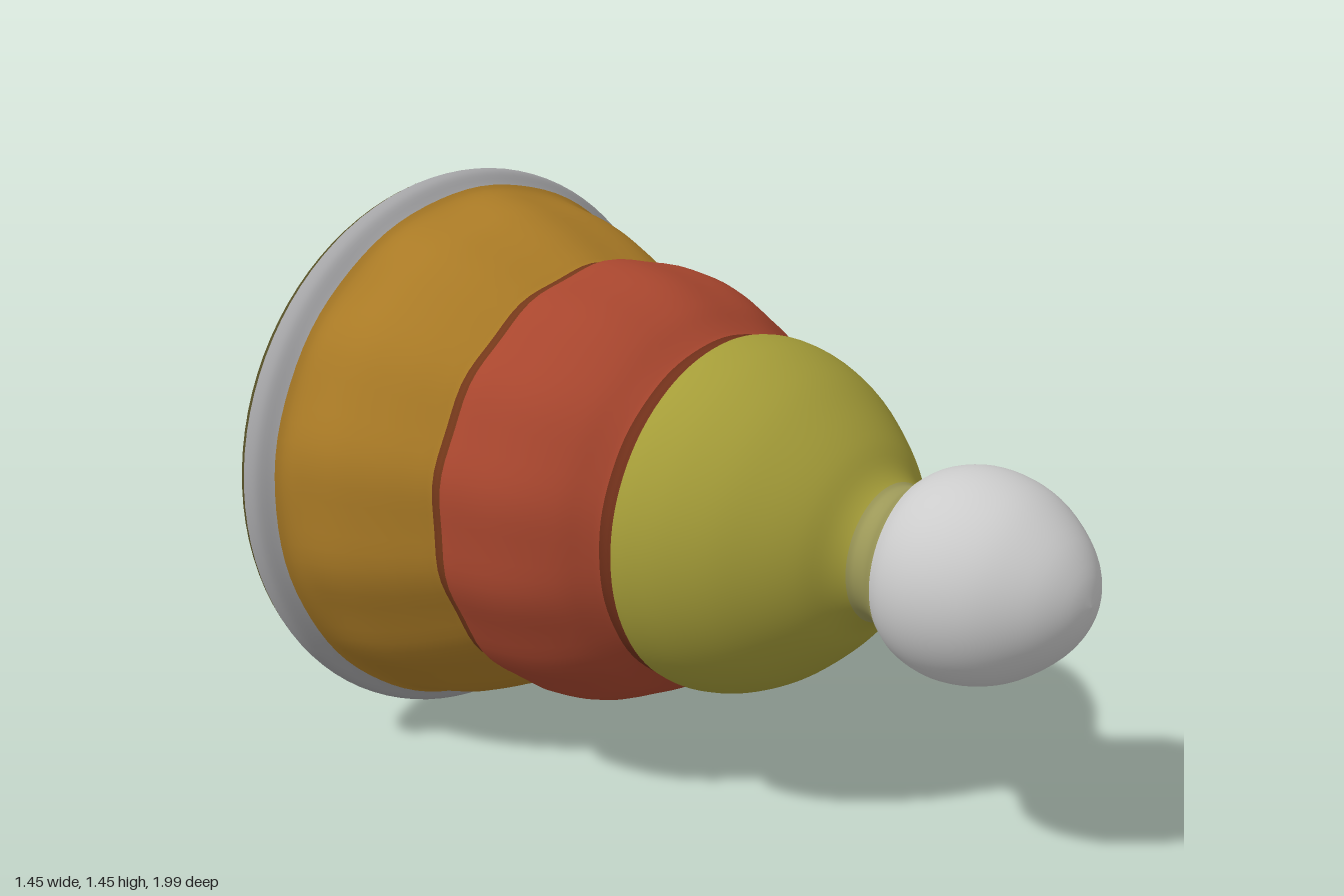
import * as THREE from 'three';

const SIDES = 96;

// Profile sections from the front tip to the back centre: [z, radius].
// Each section runs on to the first point of the next.
const SECTIONS = [
  { name: 'frontBall', color: 0xc0c0c2, pts: [[1, 0], [0.985, 0.065], [0.94, 0.135], [0.86, 0.201], [0.78, 0.234], [0.7, 0.242], [0.63, 0.226]] },
  { name: 'neck', color: 0x9c9858, pts: [[0.585, 0.198], [0.55, 0.168], [0.52, 0.158]] },
  { name: 'yellowDome', color: 0xa49c38, pts: [[0.5, 0.163], [0.47, 0.19], [0.43, 0.245], [0.37, 0.305], [0.29, 0.368], [0.2, 0.413], [0.12, 0.432]] },
  { name: 'frontGroove', color: 0x70301a, pts: [[0.07, 0.43], [0.05, 0.421]] },
  { name: 'redBand', color: 0xa8462e, pts: [[0.03, 0.424], [0, 0.445], [-0.05, 0.483], [-0.12, 0.518], [-0.2, 0.541], [-0.3, 0.553]] },
  { name: 'rearGroove', color: 0x74381a, pts: [[-0.35, 0.547], [-0.37, 0.536]] },
  { name: 'goldSkirt', color: 0xac7c26, pts: [[-0.387, 0.537], [-0.42, 0.555], [-0.5, 0.596], [-0.6, 0.636], [-0.7, 0.66], [-0.745, 0.673]] },
  { name: 'paleRim', color: 0xa4a4a6, pts: [[-0.768, 0.688], [-0.795, 0.716], [-0.82, 0.724]] },
  { name: 'backLip', color: 0x554f26, pts: [[-0.842, 0.721], [-0.87, 0.706], [-0.897, 0.673], [-0.92, 0.615], [-0.933, 0.55]] },
  { name: 'backLumps', color: 0x4c3e1b, pts: [[-0.942, 0.49], [-0.952, 0.41]] },
  { name: 'backCentre', color: 0x4b4720, pts: [[-0.96, 0.3], [-0.957, 0.15], [-0.955, 0]] },
];

const smooth = THREE.MathUtils.smoothstep;

// A point of the body: leaning axis, slightly uneven sides, four lumps behind
function surfacePoint(z, r, a) {
  const body = smooth(-z, -0.1, 0.15) * (1 - smooth(-z, 0.68, 0.8));
  const radius = r * (1 + body * (0.008 * Math.cos(14 * a + Math.PI) + 0.003 * Math.sin(5 * a)));
  const back = smooth(-z, 0.86, 0.92);
  const lump = back * 0.05 * Math.sin(2 * a) ** 2 * Math.exp(-(((r - 0.49) / 0.13) ** 2));
  return [
    0.035 + 0.044 * z + 0.012 * smooth(z, 0.3, 0.6) + radius * Math.cos(a),
    0.731 + 0.006 * z + radius * Math.sin(a),
    z - lump,
  ];
}

// Triangles joining a run of rings, outward facing
function ringIndex(rings) {
  const index = [];
  for (let i = 0; i < rings - 1; i++) {
    for (let j = 0; j < SIDES; j++) {
      const a = i * SIDES + j, b = i * SIDES + ((j + 1) % SIDES);
      index.push(a, a + SIDES, b, b, a + SIDES, b + SIDES);
    }
  }
  return index;
}

export function createModel() {
  const group = new THREE.Group();
  group.name = 'steppedBell';

  // One smooth profile through all sections
  const controls = SECTIONS.flatMap((s) => s.pts).map(([z, r]) => new THREE.Vector2(z, r));
  const STEPS = 4;
  const rings = (controls.length - 1) * STEPS + 1;
  const profile = new THREE.SplineCurve(controls).getPoints(rings - 1);

  // The whole skin, so that normals run smoothly across colour changes
  const positions = [];
  for (const p of profile) {
    for (let j = 0; j < SIDES; j++) {
      positions.push(...surfacePoint(p.x, Math.max(p.y, 0), (j / SIDES) * Math.PI * 2));
    }
  }
  const skin = new THREE.BufferGeometry();
  skin.setAttribute('position', new THREE.Float32BufferAttribute(positions, 3));
  skin.setIndex(ringIndex(rings));
  skin.computeVertexNormals();

  // Cut the skin into its coloured parts
  let start = 0;
  for (const { name, color, pts } of SECTIONS) {
    const end = Math.min(start + pts.length * STEPS, rings - 1);
    const geometry = new THREE.BufferGeometry();
    for (const key of ['position', 'normal']) {
      const part = skin.attributes[key].array.slice(start * SIDES * 3, (end + 1) * SIDES * 3);
      geometry.setAttribute(key, new THREE.BufferAttribute(part, 3));
    }
    geometry.setIndex(ringIndex(end - start + 1));
    const mesh = new THREE.Mesh(geometry, new THREE.MeshStandardMaterial({ color }));
    mesh.name = name;
    group.add(mesh);
    start = end;
  }
  return group;
}
